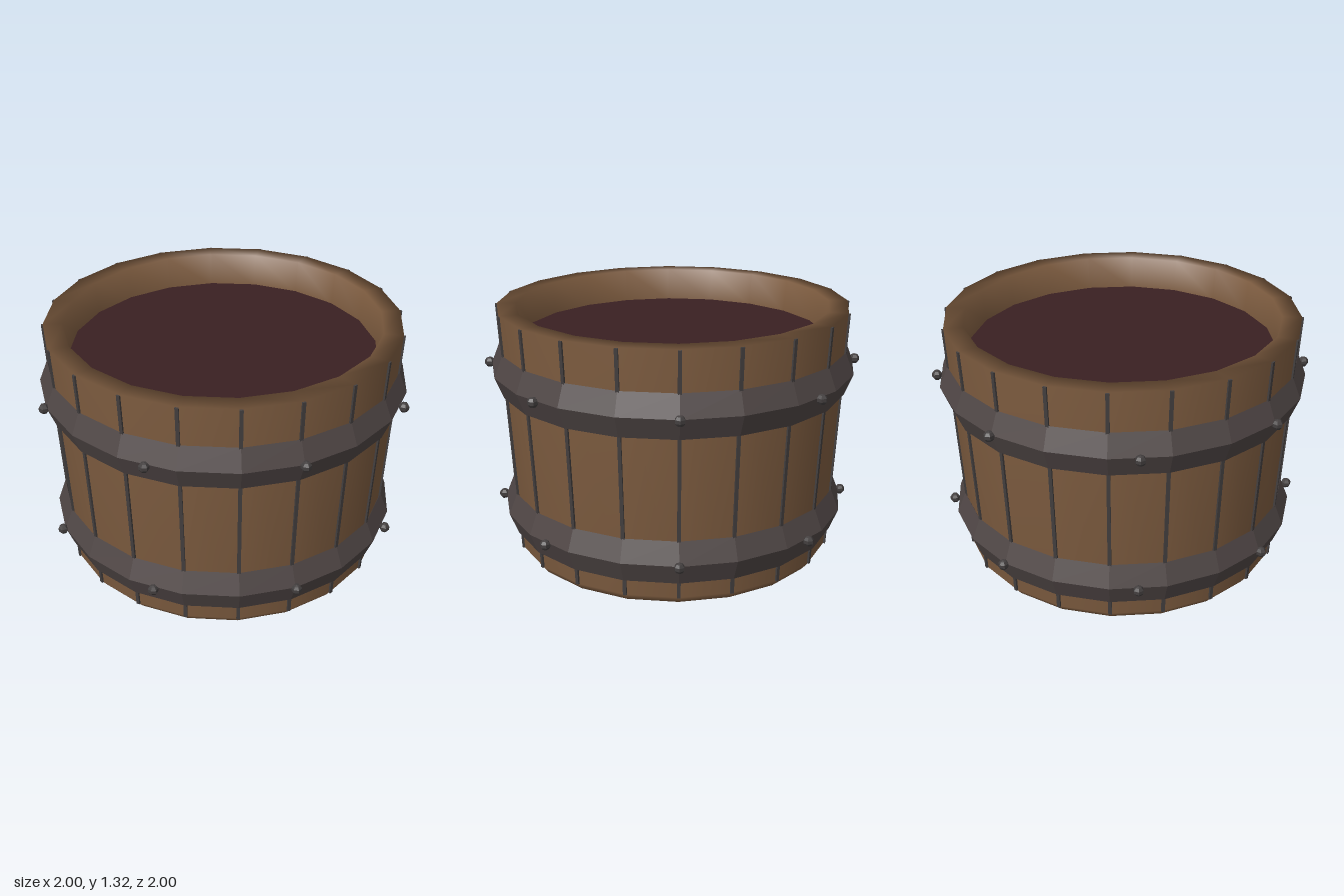
import * as THREE from 'three';

const SIDES = 20;
const paint = (name, color, flatShading = false) =>
  Object.assign(new THREE.MeshStandardMaterial({ color, flatShading }), { name });

export function createModel() {
  const root = new THREE.Group();
  root.name = 'woodenTub';
  const wood = paint('wood', 0x7b5a3e);
  const iron = paint('iron', 0x4f4645, true);
  const darkIron = paint('darkIron', 0x433f3f, true);
  const wine = paint('liquid', 0x3a2022);

  const add = (name, geometry, material, parent = root) => {
    const mesh = new THREE.Mesh(geometry, material);
    mesh.name = name;
    parent.add(mesh);
    return mesh;
  };

  // Tub: floor, flared outer wall, rim and inner wall
  const profile = [[0, 0], [0.82, 0], [0.85, 0.04], [0.92, 1.32], [0.82, 1.32], [0.8, 1.14]]
    .map(([r, y]) => new THREE.Vector2(r, y));
  add('tub', new THREE.LatheGeometry(profile, SIDES), wood);

  // Liquid surface
  const liquid = add('liquid', new THREE.CircleGeometry(0.802, SIDES).rotateX(-Math.PI / 2), wine);
  liquid.position.y = 1.15;

  // Thin seams between the staves, leaning with the wall
  const low = new THREE.Vector2(0.85, 0.04), high = new THREE.Vector2(0.919, 1.318);
  const lean = -Math.atan2(high.x - low.x, high.y - low.y);
  const seamGeometry = new THREE.BoxGeometry(0.018, low.distanceTo(high), 0.018)
    .rotateZ(lean)
    .translate((low.x + high.x) / 2, (low.y + high.y) / 2, 0);
  const seams = new THREE.Group();
  seams.name = 'staveSeams';
  root.add(seams);
  for (let i = 0; i < SIDES; i++) {
    add('seam', seamGeometry, darkIron, seams).rotation.y = (i / SIDES) * Math.PI * 2;
  }

  // Ridged hoops, each with eight rivets
  const rivetGeometry = new THREE.SphereGeometry(0.028, 6, 5);
  const addHoop = (name, y, radius) => {
    const hoop = new THREE.Group();
    hoop.name = name;
    hoop.position.y = y;
    root.add(hoop);
    const band = new THREE.TorusGeometry(radius, 0.045, 4, SIDES)
      .scale(1, 1, 2.5)
      .rotateX(-Math.PI / 2);
    add('band', band, iron, hoop);
    for (let i = 0; i < 8; i++) {
      const a = (i / 8) * Math.PI * 2, r = radius + 0.057;
      const rivet = add('rivet', rivetGeometry, darkIron, hoop);
      rivet.position.set(Math.cos(a) * r, 0, Math.sin(a) * r);
      rivet.rotation.y = -a;
    }
  };
  addHoop('lowerHoop', 0.243, 0.875);
  addHoop('upperHoop', 1.002, 0.915);

  return root;
}
